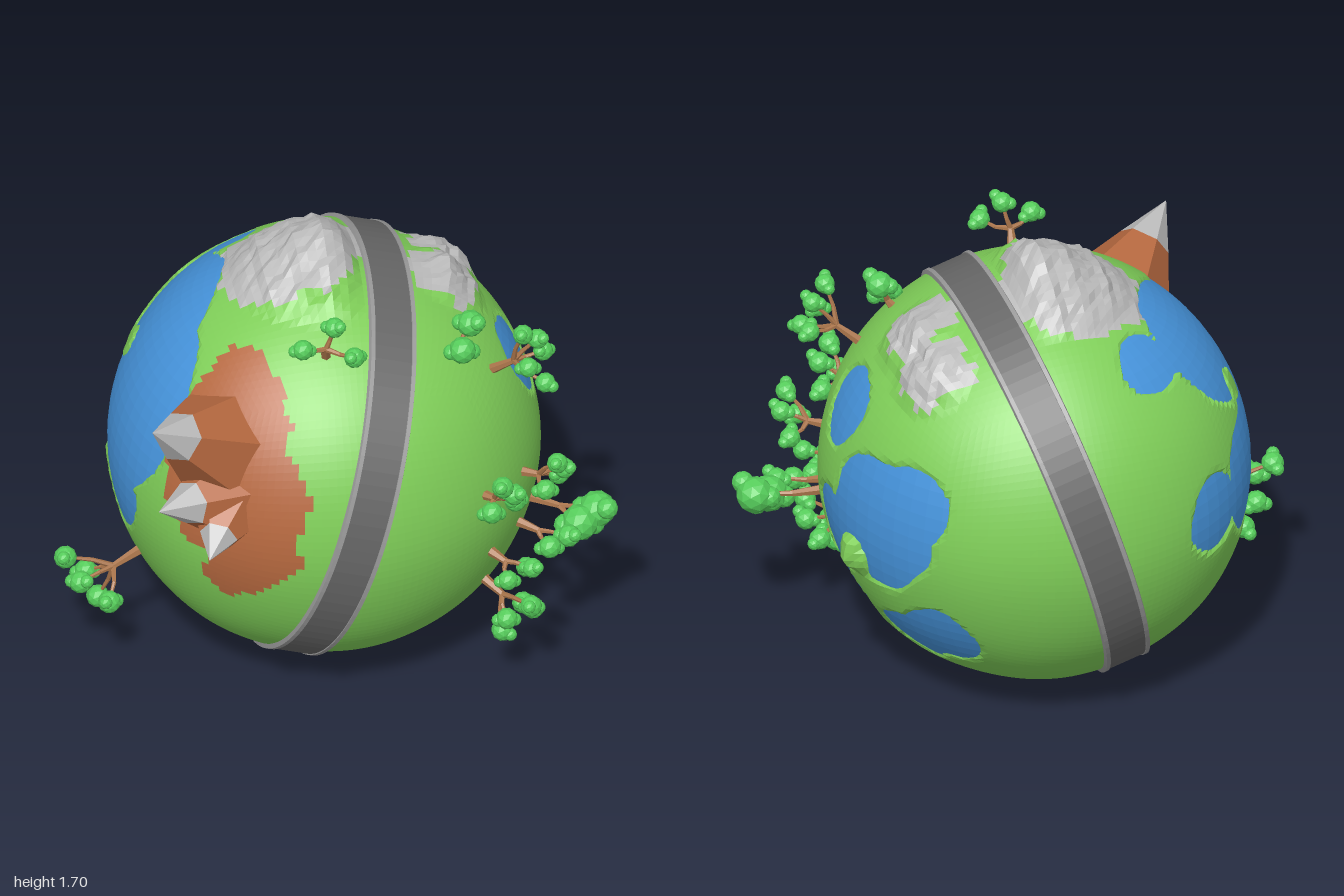
import * as THREE from 'three';
import { mergeGeometries } from 'three/addons/utils/BufferGeometryUtils.js';

const V = (x, y, z) => new THREE.Vector3(x, y, z);
const CENTRE = V(0, 0.785, 0);
const LAND = 0.78, WATER = 0.772;
const ROAD_TILT = 1.865;
const ROAD_NORMAL = V(0.957, -0.29, 0);
const UP = V(0, 1, 0);

const COLORS = {
  grass: 0x7fce58, water: 0x4694dc, rock: 0xbababa, clay: 0xb5683f,
  road: 0x666666, kerb: 0x999999, leaf: 0x55cc5a, bark: 0xa9744a,
};
const material = (name) => new THREE.MeshStandardMaterial({ color: COLORS[name], flatShading: true });

// Round patch on the globe: direction, angular radius and optional height
const patch = (x, y, z, r, h = 0) => ({ dir: V(x, y, z).normalize(), r, h });
const OCEAN = [
  patch(-0.87, 0.4, 0.05, 0.46), patch(-0.7, 0.65, -0.2, 0.36), patch(-0.85, 0.05, -0.42, 0.3),
  patch(-0.61, 0.04, -0.78, 0.18), patch(-0.93, -0.05, 0.12, 0.22), patch(-0.37, 0.76, -0.53, 0.15),
];
const EAST_LAKES = [
  patch(0.69, 0.34, 0.06, 0.19), patch(0.71, 0.04, -0.3, 0.33), patch(0.76, -0.13, 0, 0.2),
  patch(0.62, 0.16, -0.42, 0.2), patch(0.64, -0.4, 0.04, 0.2), patch(0.6, -0.42, 0.25, 0.11),
  patch(0.57, -0.47, -0.28, 0.18), patch(0.51, -0.4, -0.44, 0.2),
];
const LAKES = [...OCEAN, ...EAST_LAKES];
const ISLANDS = [patch(-0.86, 0.43, -0.29, 0.1), patch(0.76, -0.15, -0.17, 0.11)];
const ROCKS = [patch(-0.14, 0.98, -0.1, 0.36), patch(-0.3, 0.9, -0.2, 0.2),
  patch(0.56, 0.82, -0.02, 0.18), patch(0.58, 0.74, -0.28, 0.18)];
const CLAYS = [patch(-0.55, 0.28, 0.79, 0.36), patch(-0.5, 0.6, 0.62, 0.27), patch(-0.55, -0.12, 0.82, 0.16),
  patch(-0.4, 0.02, 0.91, 0.17), patch(-0.45, 0.76, 0.46, 0.12)];
const PEAKS = [patch(-0.01, 1, -0.03, 0.44, 0.13), patch(0.57, 0.8, -0.05, 0.25, 0.06),
  patch(0.58, 0.72, -0.28, 0.22, 0.06), patch(0.76, -0.15, -0.17, 0.12, 0.05)];

const step = THREE.MathUtils.smoothstep;
const wave = (d, f) => (Math.sin(d.x * f + 1) + Math.sin(d.y * f * 1.3 + 2) + Math.sin(d.z * f * 1.1 + d.x * f * 0.7)) / 3;
// How far inside the patches a direction lies (positive = inside)
const inside = (list, d) => Math.max(...list.map((b) => b.r - d.angleTo(b.dir)));

function landRadius(d) {
  const lake = step(inside(LAKES, d) + 0.02 * wave(d, 19), -0.02, 0.06) * (1 - step(inside(ISLANDS, d), -0.03, 0.03));
  const offRoad = step(Math.abs(d.dot(ROAD_NORMAL)), 0.11, 0.24);
  let hill = 0;
  for (const p of PEAKS) hill = Math.max(hill, p.h * (1 - d.angleTo(p.dir) / p.r));
  if (hill > 0) hill += Math.min(1, hill * 25) * (0.016 * wave(d, 47) + 0.01 * wave(d, 91));
  return LAND + 0.003 * wave(d, 9) - 0.05 * lake * (1 - Math.min(1, hill * 20)) + hill * offRoad;
}

function surfaceKind(d) {
  const ragged = 0.05 * wave(d, 31);
  if (inside(ROCKS, d) + ragged > 0) return 'rock';
  if (inside(CLAYS, d) + ragged * 0.6 > 0) return 'clay';
  return 'grass';
}

function addMesh(group, geo, colour, name, at = V(0, 0, 0)) {
  const mesh = new THREE.Mesh(geo, material(colour));
  mesh.name = name;
  mesh.position.copy(at);
  group.add(mesh);
  return mesh;
}

// Globe crust: a cube grid pushed onto the sphere, its cells sorted by surface
function addCrust(group) {
  const N = 40;
  const pos = new THREE.BoxGeometry(1, 1, 1, N, N, N).toNonIndexed().attributes.position;
  const cells = { grass: [], rock: [], clay: [] };
  const bend = (t) => Math.tan(t * Math.PI / 2);
  for (let i = 0; i < pos.count; i += 6) {
    const mid = V(0, 0, 0), pts = [];
    for (let k = i; k < i + 6; k++) {
      const d = V(bend(pos.getX(k)), bend(pos.getY(k)), bend(pos.getZ(k))).normalize();
      mid.add(d);
      pts.push(...d.clone().multiplyScalar(landRadius(d)).toArray());
    }
    cells[surfaceKind(mid.normalize())].push(...pts);
  }
  const names = { grass: 'grassland', rock: 'rockyMountains', clay: 'clayGround' };
  for (const kind in cells) {
    const geo = new THREE.BufferGeometry();
    geo.setAttribute('position', new THREE.Float32BufferAttribute(cells[kind], 3));
    geo.computeVertexNormals();
    addMesh(group, geo, kind, names[kind], CENTRE);
  }
}

// Ring road with a raised kerb along each edge
function addRoad(group) {
  const ring = (points, colour, name) => {
    const geo = new THREE.LatheGeometry(points.map(([r, y]) => new THREE.Vector2(r, y)), 96);
    const mesh = addMesh(group, geo, colour, name, CENTRE);
    mesh.material.side = THREE.DoubleSide;
    mesh.rotation.z = -ROAD_TILT;
  };
  ring([[0.786, -0.07], [0.786, 0.07]], 'road', 'roadSurface');
  for (const s of [-1, 1]) {
    ring([[0.776, 0.068 * s], [0.79, 0.07 * s], [0.79, 0.085 * s], [0.755, 0.096 * s]], 'kerb', 'roadKerb');
  }
}

// Low-poly crag: clay flank with a pale leaning tip
function addCrag(group, base, tip, rBase, rMid, split) {
  const axis = tip.clone().sub(base), len = axis.length();
  const crag = new THREE.Group();
  crag.name = 'crag';
  const flank = new THREE.CylinderGeometry(rMid, rBase, len * split, 6, 1, true).translate(0, len * split / 2, 0);
  const cap = new THREE.ConeGeometry(rMid, len * (1 - split), 6, 1, true).translate(0, len * (1 + split) / 2, 0);
  addMesh(crag, flank, 'clay', 'cragFlank');
  addMesh(crag, cap, 'rock', 'cragTip');
  crag.position.copy(base);
  crag.quaternion.setFromUnitVectors(UP, axis.normalize());
  group.add(crag);
}

// Tapered branch between two points
function branch(a, b, r0, r1) {
  const axis = b.clone().sub(a), len = axis.length();
  const geo = new THREE.CylinderGeometry(r1, r0, len, 6).translate(0, len / 2, 0);
  geo.applyQuaternion(new THREE.Quaternion().setFromUnitVectors(UP, axis.normalize()));
  return geo.translate(a.x, a.y, a.z);
}

// Tree growing straight out of the globe: leaf balls spiral around the crown centre
function addTree(group, crown, spread, count, size) {
  const wood = [], leaves = [];
  const out = crown.clone().sub(CENTRE).normalize();
  const side = V(0, 1, 0).cross(out).normalize(), rise = out.clone().cross(side);
  const root = CENTRE.clone().addScaledVector(out, LAND - 0.02);
  const fork = root.clone().lerp(crown, 0.55);
  wood.push(branch(root, fork, 0.021, 0.012));
  const puff = (p, r) => leaves.push(new THREE.IcosahedronGeometry(r, 1).translate(p.x, p.y, p.z));
  for (let i = 0; i < count; i++) {
    const a = i * 2.4 + 1, reach = spread * Math.sqrt((i + 0.6) / count);
    const ball = crown.clone().addScaledVector(side, reach * Math.cos(a))
      .addScaledVector(rise, reach * Math.sin(a)).addScaledVector(out, 0.03 * Math.cos(i * 2));
    const elbow = fork.clone().lerp(ball, 0.5).addScaledVector(out, -0.012);
    wood.push(branch(fork, elbow, 0.011, 0.008), branch(elbow, ball, 0.008, 0.005));
    puff(ball, size);
    for (const turn of [a, a + 2.6]) {
      puff(ball.clone().add(V(Math.cos(turn), Math.sin(turn * 1.7) * 0.6, Math.sin(turn)).multiplyScalar(size * 0.8)), size * 0.6);
    }
  }
  const tree = new THREE.Group();
  tree.name = 'tree';
  addMesh(tree, mergeGeometries(wood), 'bark', 'trunkAndBranches');
  addMesh(tree, mergeGeometries(leaves), 'leaf', 'foliage');
  group.add(tree);
}

export function createModel() {
  const model = new THREE.Group();
  model.name = 'smallPlanet';
  addCrust(model);
  addMesh(model, new THREE.SphereGeometry(WATER, 72, 48), 'water', 'water', CENTRE);
  addRoad(model);

  addCrag(model, V(-0.42, 1.1, 0.42), V(-0.72, 1.36, 0.67), 0.24, 0.095, 0.62);
  addCrag(model, V(-0.4, 0.94, 0.5), V(-0.7, 1.02, 0.69), 0.2, 0.085, 0.56);
  addCrag(model, V(-0.42, 0.92, 0.55), V(-0.53, 0.85, 0.78), 0.16, 0.07, 0.55);

  // Lone tree on top, the eastern grove, and one tree in the west
  addTree(model, V(-0.06, 1.55, 0.48), 0.12, 3, 0.038);
  addTree(model, V(0.48, 1.4, 0.32), 0.07, 2, 0.05);
  addTree(model, V(0.71, 1.34, 0.37), 0.12, 5, 0.037);
  addTree(model, V(0.56, 0.9, 0.66), 0.1, 4, 0.04);
  addTree(model, V(0.77, 0.85, 0.47), 0.1, 4, 0.038);
  addTree(model, V(0.9, 0.6, 0.37), 0.05, 2, 0.068);
  addTree(model, V(0.78, 0.58, 0.48), 0.05, 2, 0.042);
  addTree(model, V(0.62, 0.57, 0.64), 0.08, 3, 0.037);
  addTree(model, V(0.63, 0.34, 0.56), 0.11, 5, 0.04);
  addTree(model, V(-0.88, 0.39, 0.22), 0.15, 5, 0.042);
  return model;
}
